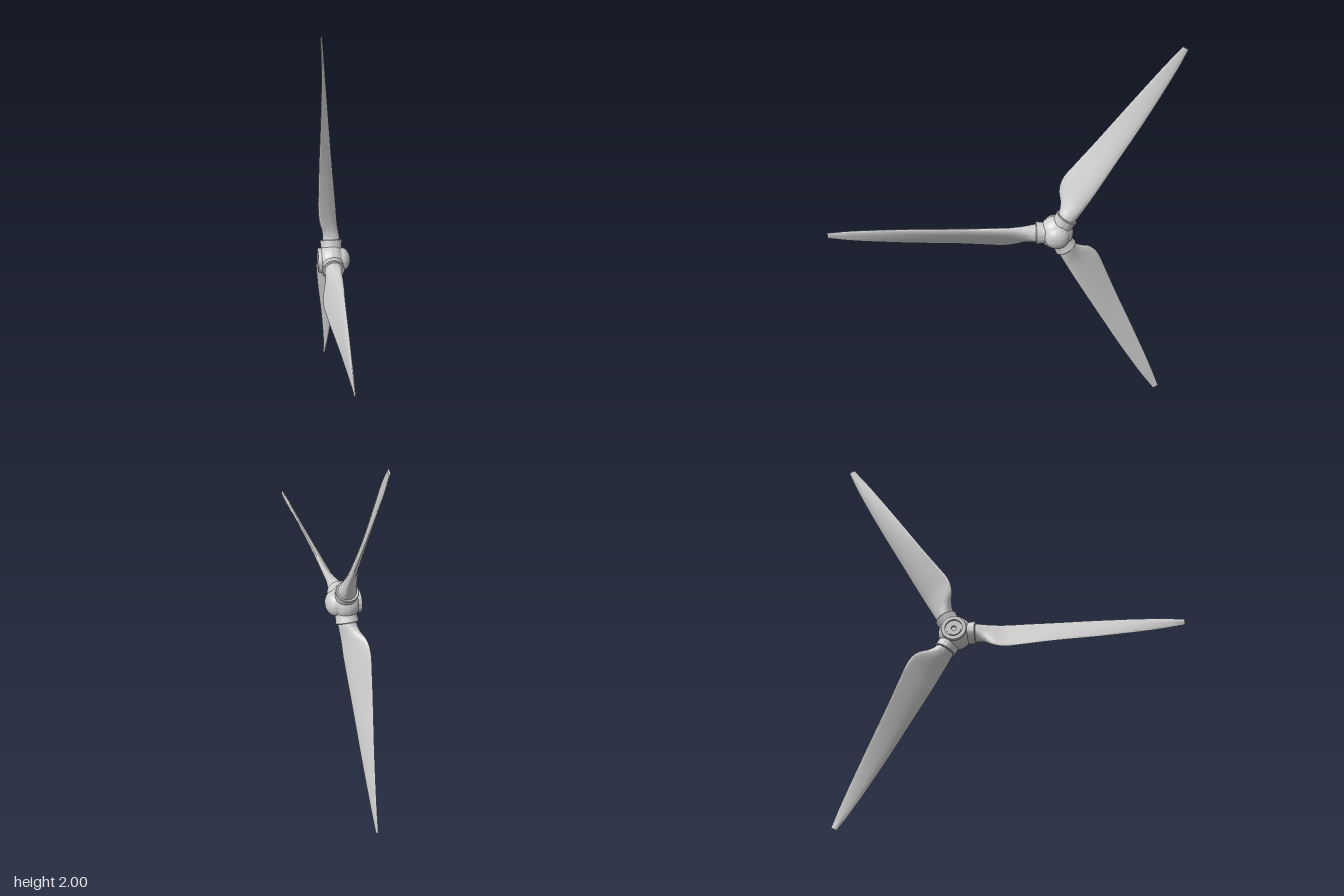
import * as THREE from 'three';
import { toCreasedNormals } from 'three/addons/utils/BufferGeometryUtils.js';

const grey = new THREE.MeshStandardMaterial({ color: 0xcccccc });

function part(name, geometry, parent) {
  const mesh = new THREE.Mesh(toCreasedNormals(geometry, 0.7), grey);
  mesh.name = name;
  parent.add(mesh);
  return mesh;
}

function lathe(profile, segments = 48) {
  return new THREE.LatheGeometry(profile.map(([r, h]) => new THREE.Vector2(r, h)), segments);
}

// Blade stations along z: distance, leading edge x/y, trailing edge x/y, half thickness, teardrop amount
const stations = [
  [0.06, 0.014, 0.04, -0.037, -0.04, 0.047, 0],
  [0.11, 0.014, 0.04, -0.037, -0.043, 0.044, 0],
  [0.15, 0.016, 0.042, -0.05, -0.062, 0.034, 0.15],
  [0.195, 0.017, 0.043, -0.071, -0.095, 0.025, 0.35],
  [0.26, 0.019, 0.044, -0.077, -0.11, 0.018, 0.5],
  [0.36, 0.016, 0.045, -0.071, -0.1, 0.015, 0.55],
  [0.5, 0.011, 0.045, -0.06, -0.083, 0.012, 0.55],
  [0.75, 0.003, 0.045, -0.037, -0.058, 0.009, 0.5],
  [1.0, -0.006, 0.038, -0.019, -0.029, 0.007, 0.4],
  [1.145, -0.011, 0.026, -0.013, -0.006, 0.005, 0.2],
];

function bladeGeometry(rings = 72, sides = 32) {
  const curve = (a, b) => new THREE.CatmullRomCurve3(
    stations.map(s => new THREE.Vector3(s[a], s[b], s[0])), false, 'catmullrom', 0.5);
  const lead = curve(1, 2), trail = curve(3, 4), shape = curve(5, 6);
  const pos = [], index = [];
  for (let i = 0; i <= rings; i++) {
    const t = i / rings;
    const l = lead.getPoint(t), e = trail.getPoint(t), s = shape.getPoint(t);
    const mid = l.clone().add(e).multiplyScalar(0.5);
    const half = l.clone().sub(e).multiplyScalar(0.5);
    const chord = Math.hypot(half.x, half.y);
    for (let j = 0; j < sides; j++) {
      const a = (j / sides) * Math.PI * 2, c = Math.cos(a);
      const h = s.x * Math.sin(a) * (1 + s.y * c) / chord;
      pos.push(mid.x + half.x * c + half.y * h, mid.y + half.y * c - half.x * h, l.z);
    }
  }
  for (let i = 0; i < rings; i++) {
    for (let j = 0; j < sides; j++) {
      const k = (j + 1) % sides;
      const a = i * sides + j, b = i * sides + k;
      index.push(a, a + sides, b, b, a + sides, b + sides);
    }
  }
  // flat tip
  const last = rings * sides;
  for (let j = 1; j < sides - 1; j++) index.push(last, last + j + 1, last + j);
  const geo = new THREE.BufferGeometry();
  geo.setAttribute('position', new THREE.Float32BufferAttribute(pos, 3));
  geo.setIndex(index);
  return geo;
}

export function createModel() {
  const model = new THREE.Group();
  model.name = 'threeBladePropeller';
  const rotor = new THREE.Group();
  rotor.name = 'rotor';
  rotor.position.set(0, 1.007, -0.275);
  model.add(rotor);

  // Hub: recessed rear face with shaft hole, flange, bulging body and domed nose
  const profile = [[0, -0.06], [0.013, -0.06], [0.013, -0.078], [0.037, -0.078], [0.037, -0.072],
    [0.044, -0.072], [0.044, -0.085], [0.063, -0.085], [0.063, -0.066]];
  const body = new THREE.SplineCurve([[0.063, -0.066], [0.076, -0.052], [0.084, -0.03], [0.086, -0.008],
    [0.08, 0.014], [0.07, 0.027], [0.062, 0.036]].map(p => new THREE.Vector2(...p)));
  body.getPoints(20).slice(1).forEach(p => profile.push([p.x, p.y]));
  for (let i = 1; i <= 14; i++) {
    const a = (i / 14) * Math.PI / 2;
    profile.push([i === 14 ? 0 : 0.062 * Math.cos(a), 0.036 + 0.047 * Math.sin(a)]);
  }
  part('hub', lathe(profile).rotateZ(-Math.PI / 2), rotor);

  // Blade arms: flared socket with an open mouth, and a twisted blade
  const socket = lathe([[0.054, 0], [0.054, 0.07], [0.055, 0.085], [0.057, 0.094],
    [0.057, 0.101], [0.054, 0.104], [0.04, 0.104]]).rotateX(Math.PI / 2).translate(-0.012, 0, 0);
  const blade = bladeGeometry();
  for (let i = 0; i < 3; i++) {
    const arm = new THREE.Group();
    arm.name = 'bladeArm' + (i + 1);
    arm.rotation.x = (i * Math.PI * 2) / 3;
    part('socket', socket, arm);
    part('blade', blade, arm);
    rotor.add(arm);
  }
  return model;
}
